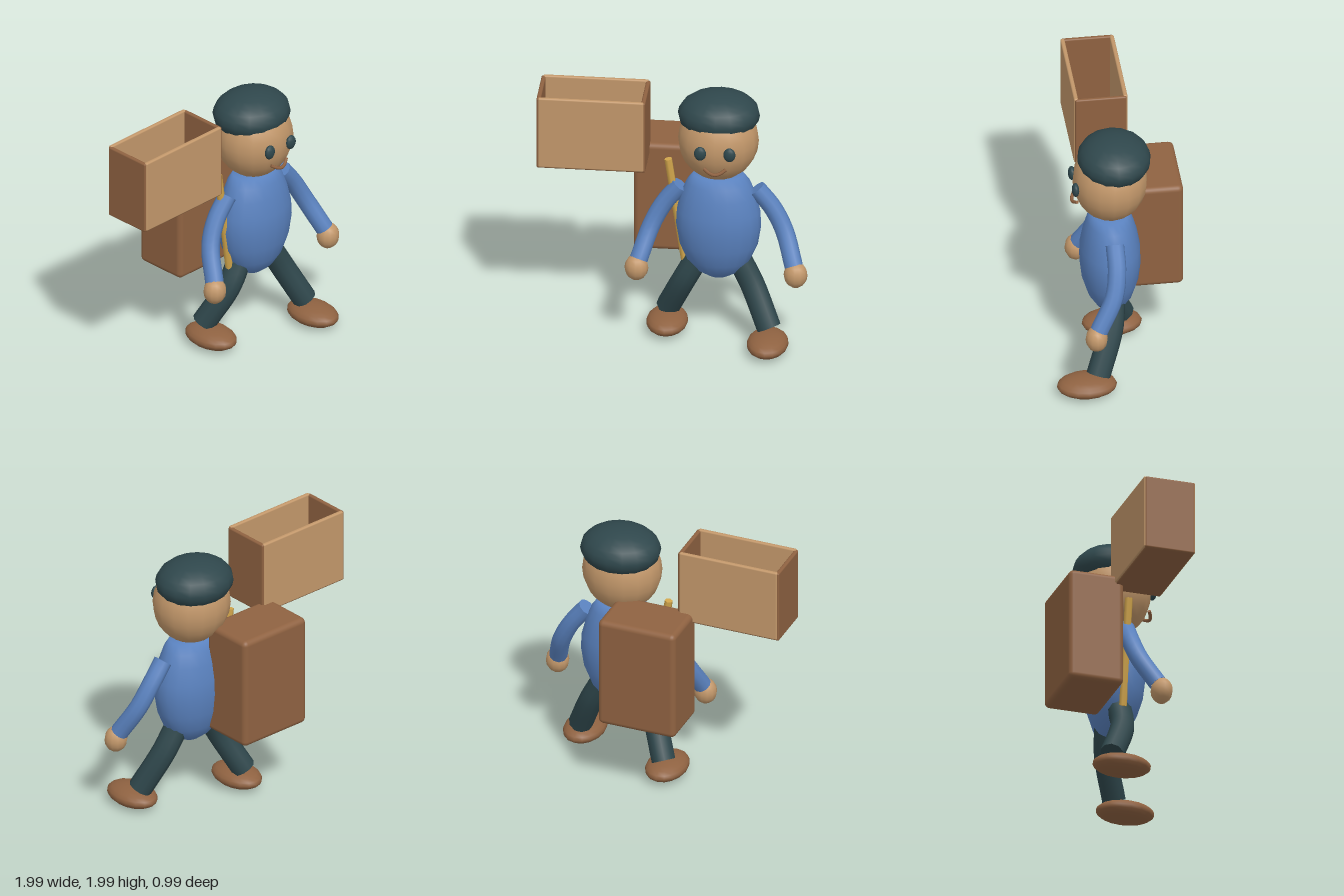
import * as THREE from 'three';
import { RoundedBoxGeometry } from 'three/addons/geometries/RoundedBoxGeometry.js';

const material = (name, color) => Object.assign(new THREE.MeshStandardMaterial({ color }), { name });
const V = (p) => new THREE.Vector3(...p);

export function createModel() {
  const tan = material('tan', 0xc2976a);
  const brown = material('brown', 0x8f6241);
  const blue = material('blue', 0x5a82bf);
  const teal = material('dark teal', 0x2f474c);
  const gold = material('gold', 0xd2a64c);

  const model = new THREE.Group();
  model.name = 'porter';

  const add = (name, geometry, mat, pos = [0, 0, 0], parent = model) => {
    const mesh = new THREE.Mesh(geometry, mat);
    mesh.name = name;
    mesh.position.set(...pos);
    parent.add(mesh);
    return mesh;
  };
  const ellipsoid = (name, mat, pos, radii, w = 16, h = 12) =>
    add(name, new THREE.SphereGeometry(1, w, h).scale(...radii), mat, pos);
  const box = (name, mat, size, pos, radius, parent) =>
    add(name, new RoundedBoxGeometry(...size, 3, radius), mat, pos, parent);

  // Bent tube with flat ends
  const limb = (name, mat, points, radius, sides) => {
    const group = new THREE.Group();
    group.name = name;
    const curve = new THREE.CatmullRomCurve3(points.map(V));
    add(name + 'Tube', new THREE.TubeGeometry(curve, 12, radius, sides), mat, [0, 0, 0], group);
    for (const t of [0, 1]) {
      const end = curve.getPoint(t);
      const out = curve.getTangent(t).multiplyScalar(t ? 1 : -1);
      const cap = add(name + 'End', new THREE.CircleGeometry(radius, sides), mat, end.toArray(), group);
      cap.lookAt(end.clone().add(out));
    }
    model.add(group);
  };

  const cx = 0.32; // middle of the figure

  // Torso: flattened egg, tapered towards the bottom
  const profile = [
    [0, 0.49], [0.075, 0.51], [0.16, 0.56], [0.235, 0.65], [0.29, 0.78], [0.314, 0.93],
    [0.308, 1.05], [0.275, 1.18], [0.235, 1.28], [0.185, 1.345], [0, 1.352],
  ].map(([r, y]) => new THREE.Vector2(r, y));
  add('torso', new THREE.LatheGeometry(profile, 20).scale(1, 1, 0.715), blue, [cx, 0, 0.05]);

  // Head, cap and face
  ellipsoid('head', tan, [cx, 1.63, 0.05], [0.297, 0.31, 0.275]);
  ellipsoid('cap', teal, [cx, 1.82, 0.02], [0.302, 0.172, 0.27]);
  for (const s of [-1, 1]) {
    ellipsoid(s > 0 ? 'leftEye' : 'rightEye', teal, [cx + s * 0.108, 1.636, 0.317], [0.045, 0.055, 0.028], 12, 8);
  }
  const smile = [[-0.08, 1.505, 0.3], [-0.04, 1.482, 0.322], [0, 1.473, 0.332], [0.04, 1.482, 0.322], [0.08, 1.505, 0.3]]
    .map(([x, y, z]) => [cx + x, y, z]);
  limb('mouth', brown, smile, 0.013, 6);

  // Arms and hands
  for (const s of [-1, 1]) {
    const side = s > 0 ? 'left' : 'right';
    const path = [[0.28, 1.235, 0.05], [0.4, 1.08, 0.05], [0.49, 0.91, 0.085], [0.57, 0.685, 0.205]]
      .map(([x, y, z]) => [cx + s * x, y, z]);
    limb(side + 'Arm', blue, path, 0.068, 10);
    ellipsoid(side + 'Hand', tan, [cx + s * 0.585, 0.628, 0.225], [0.088, 0.1, 0.082], 12, 8);
  }

  // Legs in mid stride, with shoes
  const leg = (side, s, kneeZ, ankleZ, shoeZ) => {
    const path = [[0.15, 0.65, 0.045], [0.25, 0.46, kneeZ], [0.385, 0.16, ankleZ]]
      .map(([x, y, z]) => [cx + s * x, y, z]);
    limb(side + 'Leg', teal, path, 0.09, 10);
    ellipsoid(side + 'Shoe', brown, [cx + s * 0.384, 0.078, shoeZ], [0.153, 0.075, 0.222], 16, 10);
  };
  leg('left', 1, 0.075, 0.185, 0.27);
  leg('right', -1, 0.035, -0.09, -0.015);

  // Backpack
  box('backpack', brown, [0.61, 0.87, 0.42], [-0.015, 1.05, -0.29], 0.04);

  // Walking stick
  const top = V([-0.05, 1.44, 0.045]), foot = V([0.07, 0.62, 0.04]);
  const stick = add('stick', new THREE.CylinderGeometry(0.03, 0.03, top.distanceTo(foot), 6), gold,
    top.clone().add(foot).multiplyScalar(0.5).toArray());
  stick.quaternion.setFromUnitVectors(V([0, 1, 0]), top.clone().sub(foot).normalize());

  // Open crate: tan front and back, brown ends and floor
  const crate = new THREE.Group();
  crate.name = 'crate';
  crate.position.set(-0.6, 1.41, 0.045);
  model.add(crate);
  box('crateFloor', brown, [0.79, 0.03, 0.375], [0, 0.015, 0], 0.01, crate);
  for (const s of [-1, 1]) {
    box(s > 0 ? 'crateFront' : 'crateBack', tan, [0.775, 0.568, 0.032], [0, 0.293, s * 0.182], 0.012, crate);
    box(s > 0 ? 'crateLeftEnd' : 'crateRightEnd', brown, [0.032, 0.57, 0.38], [s * 0.384, 0.287, 0], 0.012, crate);
  }

  return model;
}
